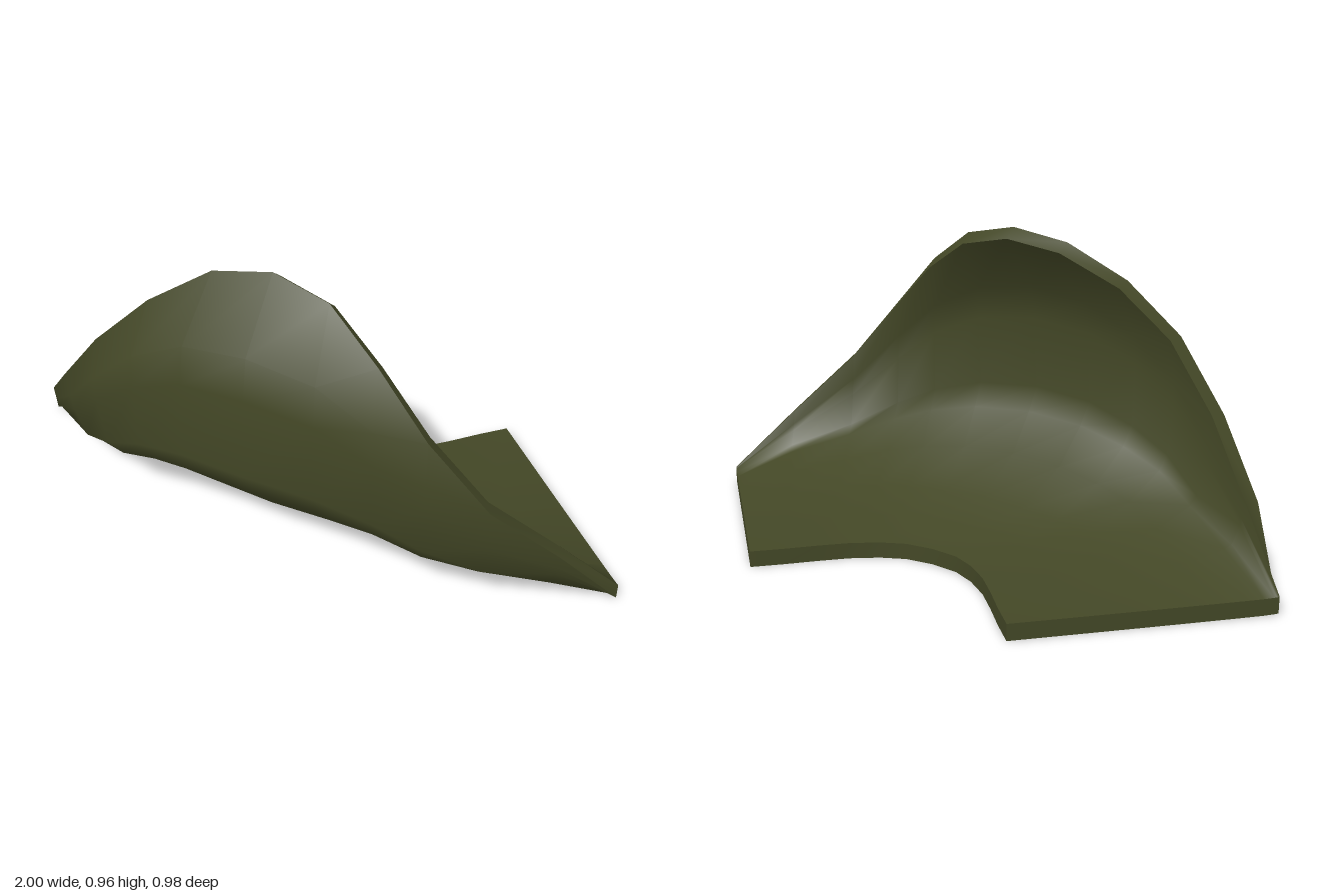
import * as THREE from 'three';

const THICKNESS = 0.05;

// Each column runs from the back neck edge [x, z] to the raised rim [x, y, z].
// "side" blends from the bulging centre profile (0) to the flatter side profile (1).
const COLUMNS = [
  { neck: [0, -0.175], rim: [0, 0.965, 0.28], side: 0 },
  { neck: [0.09, -0.185], rim: [0.18, 0.93, 0.3], side: 0.21 },
  { neck: [0.165, -0.22], rim: [0.355, 0.82, 0.365], side: 0.64 },
  { neck: [0.24, -0.275], rim: [0.52, 0.66, 0.405], side: 0.88 },
  { neck: [0.31, -0.345], rim: [0.69, 0.45, 0.36], side: 1 },
  { neck: [0.38, -0.42], rim: [0.86, 0.25, 0.225], side: 1 },
  { neck: [0.45, -0.49], rim: [1, 0.005, 0.055], side: 1 },
];

// Profile rows: reach at the centre, reach at the sides, height (all as fractions)
const ROWS = [
  [0, 0, 0], [0.36, 0.25, 0.03], [0.65, 0.5, 0.083],
  [1.09, 0.72, 0.187], [1.33, 0.88, 0.32], [1.46, 0.94, 0.425],
  [1.4, 0.98, 0.68], [1.35, 0.99, 0.81], [1, 1, 1],
];

// Smooth surface through rows of points
function surface(rows) {
  const width = rows[0].length;
  const index = [];
  for (let v = 0; v < rows.length - 1; v++) {
    for (let u = 0; u < width - 1; u++) {
      const a = v * width + u, d = a + width;
      index.push(a, a + 1, d + 1, a, d + 1, d);
    }
  }
  const geometry = new THREE.BufferGeometry().setFromPoints(rows.flat());
  geometry.setIndex(index);
  geometry.computeVertexNormals();
  return geometry;
}

const reversed = (points) => [...points].reverse();

export function createModel() {
  const group = new THREE.Group();
  group.name = 'curvedCollarPlate';
  const olive = new THREE.MeshStandardMaterial({ color: 0x434726 });
  olive.name = 'dark olive';

  const add = (name, rows) => {
    const mesh = new THREE.Mesh(surface(rows), olive);
    mesh.name = name;
    group.add(mesh);
    return mesh;
  };

  // Mirror the columns to cover right to left
  const last = COLUMNS.length - 1;
  const columns = [];
  for (let i = -last; i <= last; i++) columns.push({ ...COLUMNS[Math.abs(i)], sign: Math.sign(i) });

  // Outer shell
  const outer = ROWS.map(([centre, side, height]) => columns.map((c) => {
    const reach = THREE.MathUtils.lerp(centre, side, c.side);
    return new THREE.Vector3(
      c.sign * THREE.MathUtils.lerp(c.neck[0], c.rim[0], reach),
      c.rim[1] * height,
      THREE.MathUtils.lerp(c.neck[1], c.rim[2], reach),
    );
  }));
  const shell = add('outerShell', outer);

  // Inner lining: the shell offset inward, straight up along the flat edges
  const normals = shell.geometry.attributes.normal;
  const width = columns.length;
  const inner = outer.map((row, v) => row.map((p, u) => {
    const flat = v === 0 || u === 0 || u === width - 1;
    const n = flat ? new THREE.Vector3(0, -1, 0)
      : new THREE.Vector3().fromBufferAttribute(normals, v * width + u);
    return p.clone().addScaledVector(n, -THICKNESS);
  }));
  add('innerLining', inner.map(reversed));

  // Edge walls joining shell and lining
  const edges = {
    neckEdge: (g) => g[0],
    leftEdge: (g) => g.map((row) => row[width - 1]),
    raisedRim: (g) => reversed(g[g.length - 1]),
    rightEdge: (g) => reversed(g.map((row) => row[0])),
  };
  for (const [name, pick] of Object.entries(edges)) {
    add(name, [reversed(pick(outer)), reversed(pick(inner))]);
  }
  return group;
}
